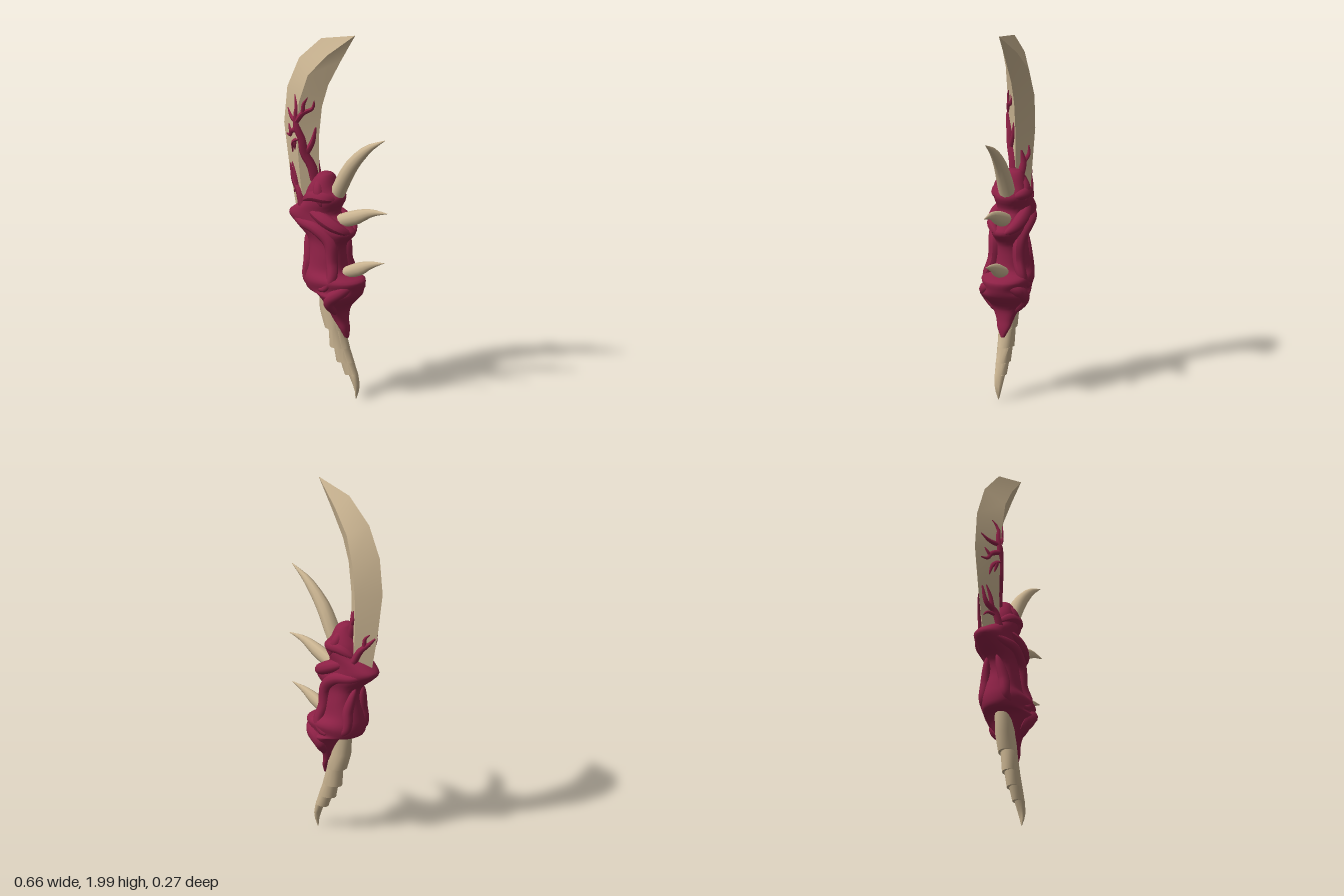
import * as THREE from 'three';
import { toCreasedNormals } from 'three/addons/utils/BufferGeometryUtils.js';

const bone = new THREE.MeshStandardMaterial({ color: 0xcbb592 });
bone.name = 'bone';
const flesh = new THREE.MeshStandardMaterial({ color: 0x8e2146 });
flesh.name = 'flesh';

// Skin a stack of closed rings (listed from base to top) and cap both ends.
function loft(rings) {
  const n = rings[0].length, index = [];
  const points = rings.flat();
  for (let i = 0; i < rings.length - 1; i++) {
    for (let j = 0; j < n; j++) {
      const a = i * n + j, b = i * n + (j + 1) % n;
      index.push(a, a + n, b, b, a + n, b + n);
    }
  }
  const top = (rings.length - 1) * n;
  for (let j = 1; j < n - 1; j++) {
    index.push(0, j, j + 1, top, top + j + 1, top + j);
  }
  const g = new THREE.BufferGeometry().setFromPoints(points);
  g.setIndex(index);
  g.computeVertexNormals();
  return g;
}

// Oval ring between a left and a right outline point, with half depth d.
function oval([lx, ly, rx, ry, d], sides, power = 1) {
  const soft = v => Math.sign(v) * Math.abs(v) ** power;
  return Array.from({ length: sides }, (_, j) => {
    const a = (j / sides) * Math.PI * 2, c = soft(Math.cos(a));
    return new THREE.Vector3(
      (lx + rx) / 2 + (rx - lx) / 2 * c,
      (ly + ry) / 2 + (ry - ly) / 2 * c,
      d * soft(Math.sin(a)));
  });
}

// Resample outline rows along smooth curves.
function smoothRows(rows, count) {
  const left = new THREE.CatmullRomCurve3(rows.map(r => new THREE.Vector3(r[0], r[1], r[4])));
  const right = new THREE.CatmullRomCurve3(rows.map(r => new THREE.Vector3(r[2], r[3], 0)));
  return Array.from({ length: count + 1 }, (_, i) => {
    const l = left.getPoint(i / count), r = right.getPoint(i / count);
    return [l.x, l.y, r.x, r.y, Math.max(l.z, 0.002)];
  });
}

// Tube whose radius follows a function of its length.
function taperTube(points, radius, steps, sides) {
  const curve = new THREE.CatmullRomCurve3(points);
  const g = new THREE.TubeGeometry(curve, steps, 1, sides);
  const p = g.attributes.position, v = new THREE.Vector3();
  for (let i = 0; i < p.count; i++) {
    const t = Math.floor(i / (sides + 1)) / steps, c = curve.getPointAt(t);
    v.fromBufferAttribute(p, i).sub(c).multiplyScalar(radius(t)).add(c);
    p.setXYZ(i, v.x, v.y, v.z);
  }
  g.computeVertexNormals();
  return g;
}

// Blade stations: back edge, ridge, cutting edge, half thickness.
const BLADE = [
  [-0.25, 0.95, -0.17, 0.95, -0.11, 0.95, 0.05],
  [-0.26, 1.01, -0.175, 1.01, -0.115, 1.01, 0.055],
  [-0.30, 1.21, -0.195, 1.21, -0.115, 1.21, 0.062],
  [-0.335, 1.45, -0.205, 1.42, -0.115, 1.40, 0.075],
  [-0.315, 1.65, -0.19, 1.60, -0.095, 1.575, 0.077],
  [-0.24, 1.82, -0.14, 1.755, -0.055, 1.70, 0.066],
  [-0.10, 1.95, -0.035, 1.875, 0.025, 1.845, 0.04],
  [0.114, 1.999, 0.115, 1.999, 0.116, 1.999, 0.001],
];

// Depth of the blade surface at a point, for seating the veins.
function bladeDepth(x, y) {
  let i = 0;
  while (i < BLADE.length - 2 && BLADE[i + 1][3] < y) i++;
  const a = BLADE[i], b = BLADE[i + 1], t = (y - a[3]) / (b[3] - a[3]);
  const [l, , m, , r, , d] = a.map((v, k) => v + (b[k] - v) * t);
  const k = x < m ? (x - l) / (m - l) : (r - x) / (r - m);
  return d * THREE.MathUtils.clamp(k, 0, 1);
}

export function createModel() {
  const model = new THREE.Group();
  const add = (name, geometry, material, parent = model) => {
    const mesh = new THREE.Mesh(geometry, material);
    mesh.name = name;
    parent.add(mesh);
  };
  const group = name => {
    const g = new THREE.Group();
    g.name = name;
    model.add(g);
    return g;
  };

  // Curved blade with a diamond section
  const bladeRings = BLADE.map(([lx, ly, mx, my, rx, ry, d]) => [
    new THREE.Vector3(rx, ry, 0), new THREE.Vector3(mx, my, d),
    new THREE.Vector3(lx, ly, 0), new THREE.Vector3(mx, my, -d)]);
  add('blade', toCreasedNormals(loft(bladeRings), 0.6), bone);

  // Three curved side spikes
  const spikes = group('spikes');
  [
    [[-0.06, 1.06, 0.01, 1.03, 0.04], [-0.01, 1.18, 0.05, 1.12, 0.045], [0.06, 1.30, 0.125, 1.26, 0.036],
      [0.18, 1.405, 0.22, 1.38, 0.02], [0.304, 1.455, 0.306, 1.453, 0.001]],
    [[-0.03, 0.98, -0.03, 0.91, 0.034], [0.03, 1.01, 0.05, 0.935, 0.036], [0.125, 1.045, 0.14, 0.97, 0.03],
      [0.22, 1.064, 0.23, 1.025, 0.016], [0.322, 1.056, 0.322, 1.054, 0.001]],
    [[0.0, 0.69, 0.01, 0.63, 0.03], [0.06, 0.725, 0.07, 0.66, 0.032], [0.14, 0.76, 0.155, 0.69, 0.026],
      [0.22, 0.777, 0.22, 0.737, 0.014], [0.30, 0.781, 0.30, 0.779, 0.001]],
  ].forEach((rows, i) => add('spike' + (i + 1), loft(smoothRows(rows, 10).map(r => oval(r, 10))), bone, spikes));

  // Segmented tail: each segment overhangs the one below it
  const tailRows = [[0.118, 0.01, 0.124, 0.01, 0.002], [0.118, 0.05, 0.136, 0.05, 0.014], [0.105, 0.09, 0.14, 0.085, 0.022]];
  [
    [0.055, 0.135, 0.128, 0.14, 0.031], [0.003, 0.20, 0.105, 0.20, 0.038],
    [-0.038, 0.275, 0.075, 0.275, 0.044], [-0.07, 0.38, 0.045, 0.37, 0.049],
  ].forEach(([lx, ly, rx, ry, d]) => tailRows.push([lx + 0.025, ly + 0.008, rx, ry, d * 0.93], [lx, ly, rx, ry + 0.004, d]));
  tailRows.push([-0.10, 0.47, 0.03, 0.47, 0.05], [-0.11, 0.63, 0.03, 0.6, 0.05]);
  add('tail', toCreasedNormals(loft(tailRows.map(r => oval(r, 14))), 0.7), bone);

  // Fleshy grip
  const gripRows = [
    [0.05, 0.335, 0.075, 0.335, 0.01], [0.025, 0.39, 0.072, 0.38, 0.035], [-0.01, 0.44, 0.062, 0.43, 0.05],
    [-0.045, 0.52, 0.065, 0.49, 0.085], [-0.09, 0.58, 0.13, 0.565, 0.13], [-0.165, 0.595, 0.15, 0.61, 0.118],
    [-0.18, 0.65, 0.155, 0.655, 0.13], [-0.17, 0.72, 0.065, 0.69, 0.10], [-0.155, 0.80, 0.045, 0.76, 0.088],
    [-0.17, 0.865, 0.05, 0.84, 0.08], [-0.245, 0.93, 0.11, 0.91, 0.092], [-0.29, 0.98, 0.06, 0.96, 0.09],
    [-0.25, 1.02, 0.01, 1.01, 0.09], [-0.195, 1.06, 0.04, 1.09, 0.095], [-0.165, 1.13, 0.0, 1.14, 0.085],
    [-0.11, 1.21, -0.035, 1.21, 0.05], [-0.09, 1.222, -0.06, 1.222, 0.01],
  ];
  add('grip', loft(smoothRows(gripRows, 64).map(r => oval(r, 28, 0.9))), flesh);

  // Muscle folds, mirrored front to back
  const folds = group('muscleFolds');
  [
    [0.034, [-0.27, 0.98, 0.02], [-0.18, 0.95, 0.07], [-0.08, 0.93, 0.085], [0.0, 0.86, 0.07],
      [0.015, 0.75, 0.07], [0.03, 0.66, 0.1], [-0.02, 0.61, 0.108], [-0.07, 0.64, 0.09]],
    [0.034, [-0.18, 1.06, 0.05], [-0.1, 1.1, 0.07], [-0.03, 1.1, 0.07], [0.025, 1.085, 0.02]],
    [0.036, [-0.15, 1.03, 0.06], [-0.03, 0.98, 0.075], [0.05, 0.94, 0.06], [0.1, 0.91, 0.02]],
    [0.03, [-0.085, 1.2, 0.03], [-0.07, 1.13, 0.07], [-0.04, 1.05, 0.08]],
    [0.03, [-0.17, 0.88, 0.03], [-0.14, 0.75, 0.055], [-0.14, 0.65, 0.07], [-0.08, 0.6, 0.09]],
    [0.036, [0.13, 0.64, 0.03], [0.08, 0.6, 0.09], [0.02, 0.55, 0.098], [0.03, 0.46, 0.04]],
  ].forEach(([r, ...path], i) => [1, -1].forEach(s => {
    const points = path.map(([x, y, z]) => new THREE.Vector3(x, y, z * s));
    const bulge = t => r * Math.max(0.02, Math.sin(Math.PI * t)) ** 0.5;
    add('fold' + (i + 1) + (s > 0 ? 'Front' : 'Back'), taperTube(points, bulge, 36, 10), flesh, folds);
  }));

  // Branching veins on the blade: radius, then points across and up
  const veins = group('veins');
  const vein = (name, [r, ...path], side) => {
    const points = path.map(([x, y]) => new THREE.Vector3(x, y, side * (bladeDepth(x, y) + 0.002)));
    add(name, taperTube(points, t => r * (1 - 0.8 * t * t), 14, 6), flesh, veins);
  };
  [
    [0.026, [-0.13, 1.17], [-0.145, 1.25], [-0.175, 1.32], [-0.185, 1.40], [-0.205, 1.46], [-0.215, 1.52], [-0.21, 1.58], [-0.235, 1.63]],
    [0.017, [-0.165, 1.32], [-0.14, 1.38], [-0.125, 1.46]],
    [0.016, [-0.21, 1.49], [-0.175, 1.54], [-0.135, 1.565], [-0.125, 1.61]],
    [0.012, [-0.175, 1.54], [-0.17, 1.59], [-0.15, 1.63]],
    [0.014, [-0.21, 1.49], [-0.26, 1.505], [-0.30, 1.54]],
    [0.015, [-0.2, 1.45], [-0.25, 1.43], [-0.27, 1.40], [-0.305, 1.40]],
    [0.01, [-0.26, 1.42], [-0.285, 1.46]],
    [0.014, [-0.19, 1.40], [-0.24, 1.37], [-0.255, 1.31]],
    [0.01, [-0.22, 1.38], [-0.23, 1.33]],
    [0.022, [-0.18, 1.03], [-0.21, 1.11], [-0.255, 1.15], [-0.285, 1.24]],
    [0.014, [-0.225, 1.13], [-0.24, 1.19], [-0.265, 1.25]],
    [0.012, [-0.2, 1.09], [-0.245, 1.10], [-0.265, 1.08]],
  ].forEach((v, i) => vein('frontVein' + (i + 1), v, 1));
  [
    [0.024, [-0.13, 1.16], [-0.15, 1.24], [-0.14, 1.31]],
    [0.014, [-0.15, 1.24], [-0.175, 1.28], [-0.175, 1.33]],
    [0.02, [-0.18, 1.04], [-0.215, 1.11], [-0.255, 1.15], [-0.29, 1.19]],
    [0.012, [-0.235, 1.13], [-0.24, 1.18], [-0.265, 1.21]],
  ].forEach((v, i) => vein('backVein' + (i + 1), v, -1));

  return model;
}
